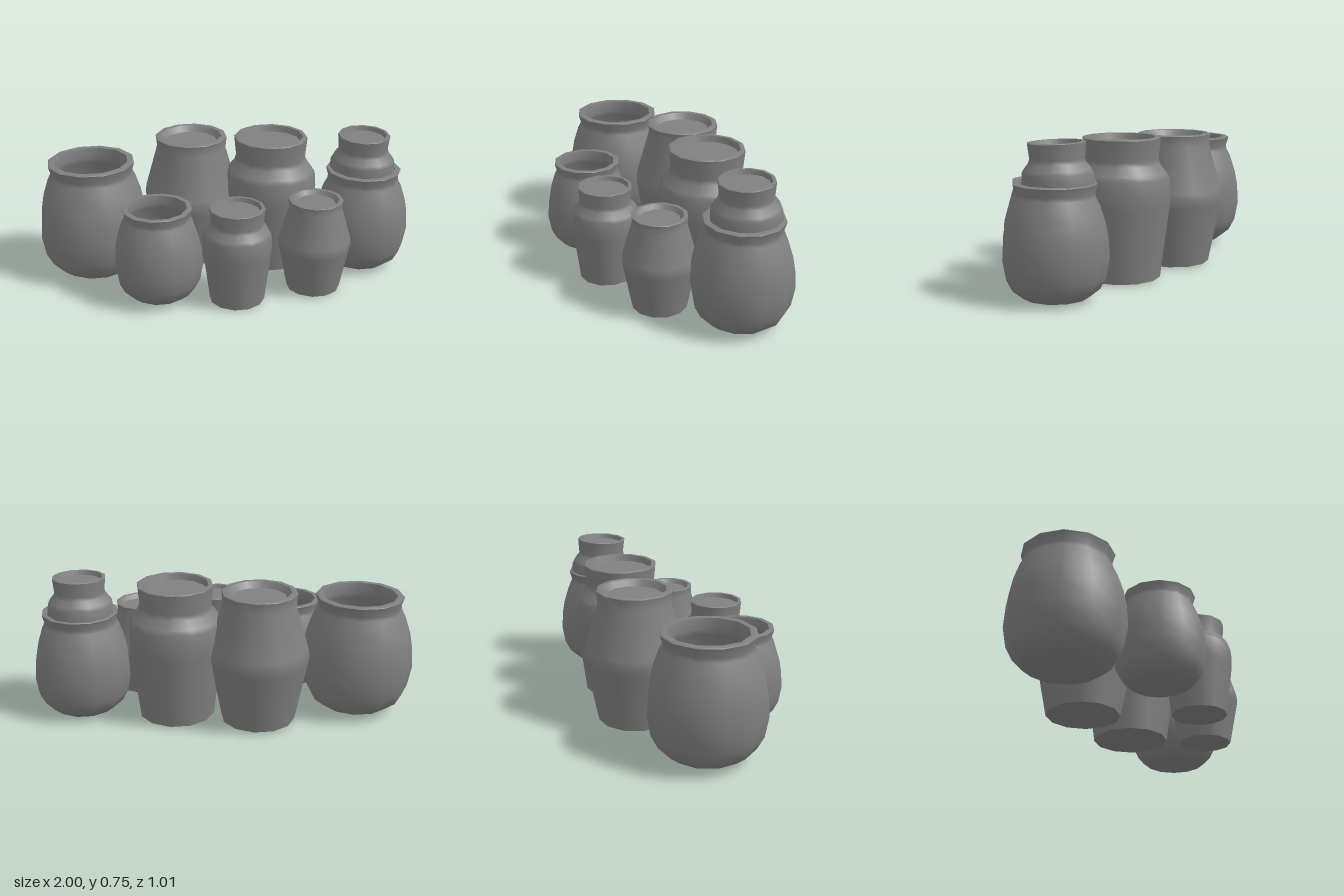
import * as THREE from 'three';
import { mergeGeometries } from 'three/addons/utils/BufferGeometryUtils.js';

const SIDES = 12;
const CORNER = 1 / Math.cos(Math.PI / SIDES); // from flat radius to corner radius

// Profiles [radius, height] from the centre of the base, up the outside and in over the rim.
// Each is split into smooth strips that meet at sharp edges.
const PROFILES = {
  // open, hollow pot with a rounded bottom
  round: [
    [[0, 0], [0.12, 0], [0.18, 0.015], [0.235, 0.06], [0.268, 0.125], [0.286, 0.23],
      [0.279, 0.34], [0.264, 0.42], [0.235, 0.51], [0.215, 0.55], [0.21, 0.572], [0.224, 0.62]],
    [[0.224, 0.62], [0.22, 0.625], [0.19, 0.625]],
    [[0.19, 0.625], [0.18, 0.572], [0.19, 0.54], [0.238, 0.42], [0.26, 0.24],
      [0.24, 0.12], [0.15, 0.045], [0, 0.035]],
  ],
  // double cone with a recessed top
  angular: [
    [[0, 0], [0.187, 0]],
    [[0.187, 0], [0.248, 0.32], [0.254, 0.36], [0.248, 0.4], [0.183, 0.635], [0.189, 0.695]],
    [[0.189, 0.695], [0.184, 0.7], [0.16, 0.7]],
    [[0.16, 0.7], [0.138, 0.668]],
    [[0.138, 0.668], [0, 0.668]],
  ],
  // tall body with a shoulder and a recessed top
  shouldered: [
    [[0, 0], [0.193, 0]],
    [[0.193, 0], [0.238, 0.37], [0.242, 0.44], [0.236, 0.515], [0.222, 0.54],
      [0.19, 0.58], [0.182, 0.605], [0.192, 0.711]],
    [[0.192, 0.711], [0.188, 0.716], [0.168, 0.716]],
    [[0.168, 0.716], [0.158, 0.684]],
    [[0.158, 0.684], [0, 0.684]],
  ],
};

function makePot(name, kind, x, y, z, radial, vertical) {
  const strips = PROFILES[kind].map((strip) => {
    const points = strip.map(
      ([r, h]) => new THREE.Vector2(r * radial * CORNER, h * vertical),
    );
    return new THREE.LatheGeometry(points, SIDES, Math.PI / SIDES);
  });
  const material = new THREE.MeshStandardMaterial({ color: 0x808080 });
  const pot = new THREE.Mesh(mergeGeometries(strips), material);
  pot.name = name;
  pot.position.set(x, y, z);
  return pot;
}

export function createModel() {
  const group = new THREE.Group();
  group.name = 'potCluster';

  // Back row
  group.add(
    makePot('largeRoundPot', 'round', -0.712, 0.008, -0.15, 1, 1.003),
    makePot('tallAngularPot', 'angular', -0.16, 0.01, -0.25, 1, 1),
    makePot('tallShoulderedPot', 'shouldered', 0.258, 0.006, -0.12, 1, 1.004),
  );

  // Front row
  group.add(
    makePot('smallRoundPot', 'round', -0.403, 0.007, 0.226, 0.776, 0.794),
    makePot('smallShoulderedPot', 'shouldered', -0.01, 0.006, 0.33, 0.715, 0.717),
    makePot('smallAngularPot', 'angular', 0.415, 0.006, 0.266, 0.725, 0.715),
  );

  // Stack: a small pot tipped slightly forward inside a round one
  const upper = makePot('stackedUpperPot', 'shouldered', 0.745, 0.235, -0.021, 0.7, 0.712);
  upper.rotation.x = 0.038;
  group.add(makePot('stackedLowerPot', 'round', 0.749, 0, 0.006, 0.87, 0.889), upper);

  return group;
}
